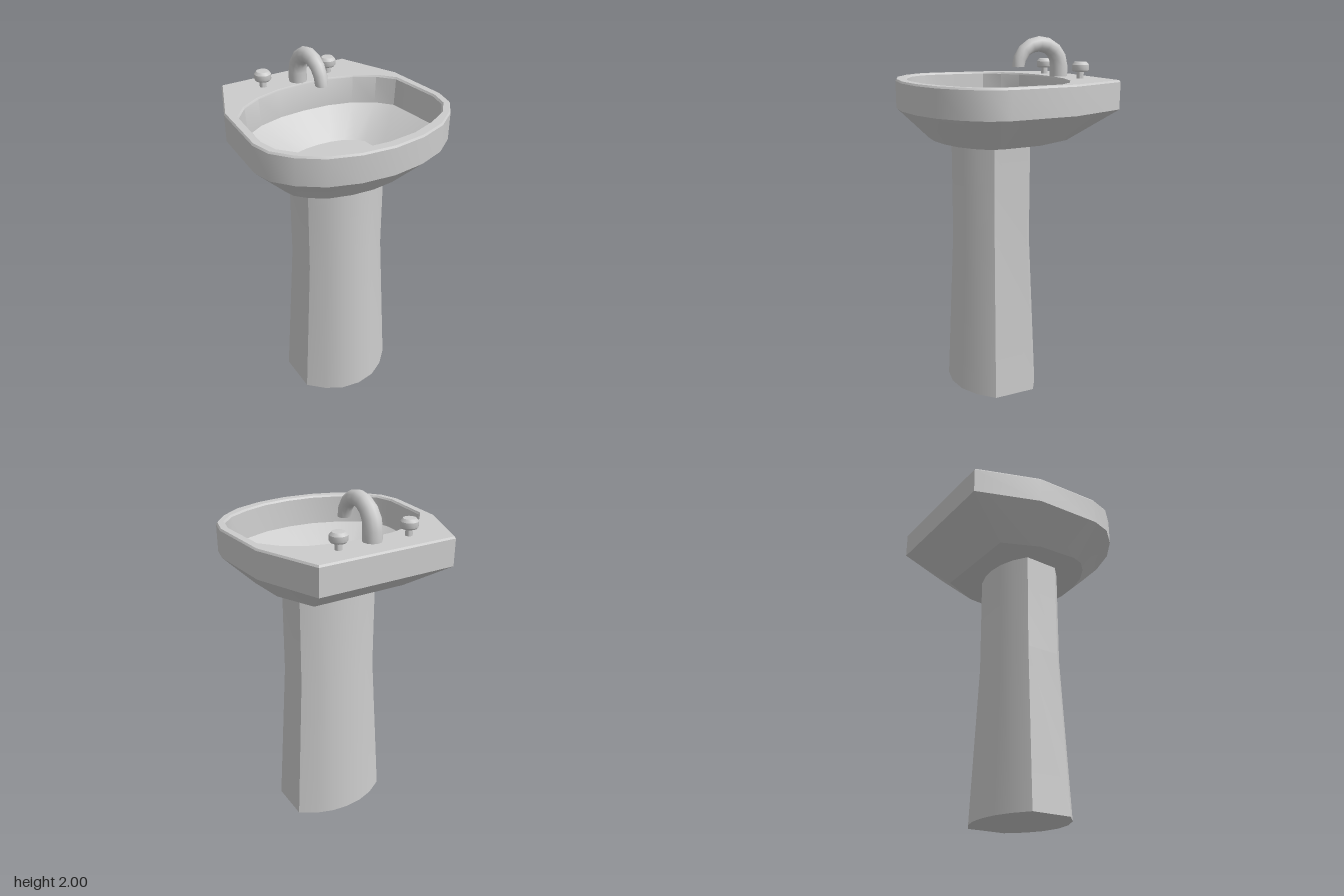
import * as THREE from 'three';
import { toCreasedNormals } from 'three/addons/utils/BufferGeometryUtils.js';

const material = new THREE.MeshStandardMaterial({ color: 0xcccccc });

// Skin a stack of equal-length rings and close both ends.
function loft(rings, crease = 0.5) {
  const n = rings[0].length;
  const points = rings.flat();
  const index = [];
  for (let k = 0; k < rings.length - 1; k++) {
    for (let i = 0; i < n; i++) {
      const j = (i + 1) % n;
      const a = k * n + i, b = k * n + j, c = b + n, d = a + n;
      index.push(a, d, c, a, c, b);
    }
  }
  const addCap = (start, isEnd) => {
    const ring = points.slice(start, start + n);
    const centre = ring.reduce((sum, p) => sum.add(p), new THREE.Vector3()).divideScalar(n);
    const c = points.push(centre) - 1;
    for (let i = 0; i < n; i++) {
      const a = start + i, b = start + (i + 1) % n;
      index.push(c, ...(isEnd ? [b, a] : [a, b]));
    }
  };
  addCap(0, false);
  addCap((rings.length - 1) * n, true);
  const geometry = new THREE.BufferGeometry().setFromPoints(points);
  geometry.setIndex(index);
  return toCreasedNormals(geometry, crease);
}

// Mirror a half outline (back centre to front centre) into a closed one.
function mirror(half) {
  return half.concat(half.slice(1, -1).reverse().map(([x, z]) => [-x, z]));
}

// Place an outline at a height, scaled in x and z and shifted in z.
function ring(outline, y, sx = 1, sz = sx, dz = 0) {
  return outline.map(([x, z]) => new THREE.Vector3(x * sx, y, z * sz + dz));
}

function part(name, geometry) {
  const mesh = new THREE.Mesh(geometry, material);
  mesh.name = name;
  return mesh;
}

// Basin: tapered underside, upright rim, deck and hollow bowl.
function makeBasin() {
  const outer = mirror([[0, -0.545], [0.13, -0.545], [0.26, -0.545], [0.39, -0.545],
    [0.53, -0.2], [0.556, 0.17], [0.53, 0.28], [0.45, 0.38], [0.33, 0.467], [0.175, 0.52], [0, 0.54]]);
  const inner = mirror([[0, -0.34], [0.155, -0.33], [0.3, -0.29], [0.415, -0.22],
    [0.49, -0.13], [0.515, 0.17], [0.49, 0.275], [0.415, 0.36], [0.295, 0.425], [0.155, 0.473], [0, 0.488]]);
  return part('basin', loft([
    ring(outer, 1.46, 0.7, 0.61, 0.04),
    ring(outer, 1.625),
    ring(outer, 1.77),
    ring(outer, 1.78, 0.988),
    ring(inner, 1.78),
    ring(inner, 1.77, 0.985),
    ring(inner, 1.62, 0.965),
    ring(inner, 1.47, 0.505, 0.485, -0.015),
  ]));
}

// Pedestal: flat sides, bowed front and back, flaring to the floor.
function makePedestal() {
  const section = mirror([[0, -0.165], [0.08, -0.157], [0.16, -0.13], [0.24, -0.08],
    [0.24, 0.12], [0.17, 0.19], [0.09, 0.235], [0, 0.25]]);
  return part('pedestal', loft([
    ring(section, 0, 1.21, 1.19, -0.0075),
    ring(section, 0.9),
    ring(section, 1.46),
  ]));
}

// Spout: a short riser and a tapering half-circle bend.
function makeSpout() {
  const sides = 12, bends = 8;
  const section = (t, y, r) => Array.from({ length: sides }, (_, i) => {
    const a = (i / sides) * Math.PI * 2;
    const reach = r * Math.cos(a);
    return new THREE.Vector3(
      r * Math.sin(a),
      y + Math.sin(t) * (0.122 + reach),
      -0.26 - Math.cos(t) * (0.128 + reach));
  });
  const rings = [section(0, 1.77, 0.05)];
  for (let k = 0; k <= bends; k++) {
    rings.push(section((k / bends) * Math.PI, 1.837, 0.05 - 0.016 * k / bends));
  }
  return part('spout', loft(rings, 0.8));
}

// Tap handle: thin stem under a bevelled round knob.
function makeHandle(x) {
  const profile = [[0, 1.77], [0.019, 1.77], [0.019, 1.817], [0.04, 1.817], [0.046, 1.825],
    [0.046, 1.853], [0.034, 1.868], [0, 1.87]].map(([r, y]) => new THREE.Vector2(r, y));
  const handle = part('tapHandle', toCreasedNormals(new THREE.LatheGeometry(profile, 12), 0.65));
  handle.position.set(x, 0, -0.408);
  return handle;
}

export function createModel() {
  const model = new THREE.Group();
  model.name = 'pedestalSink';
  model.add(makePedestal(), makeBasin(), makeSpout(), makeHandle(0.204), makeHandle(-0.204));
  return model;
}
